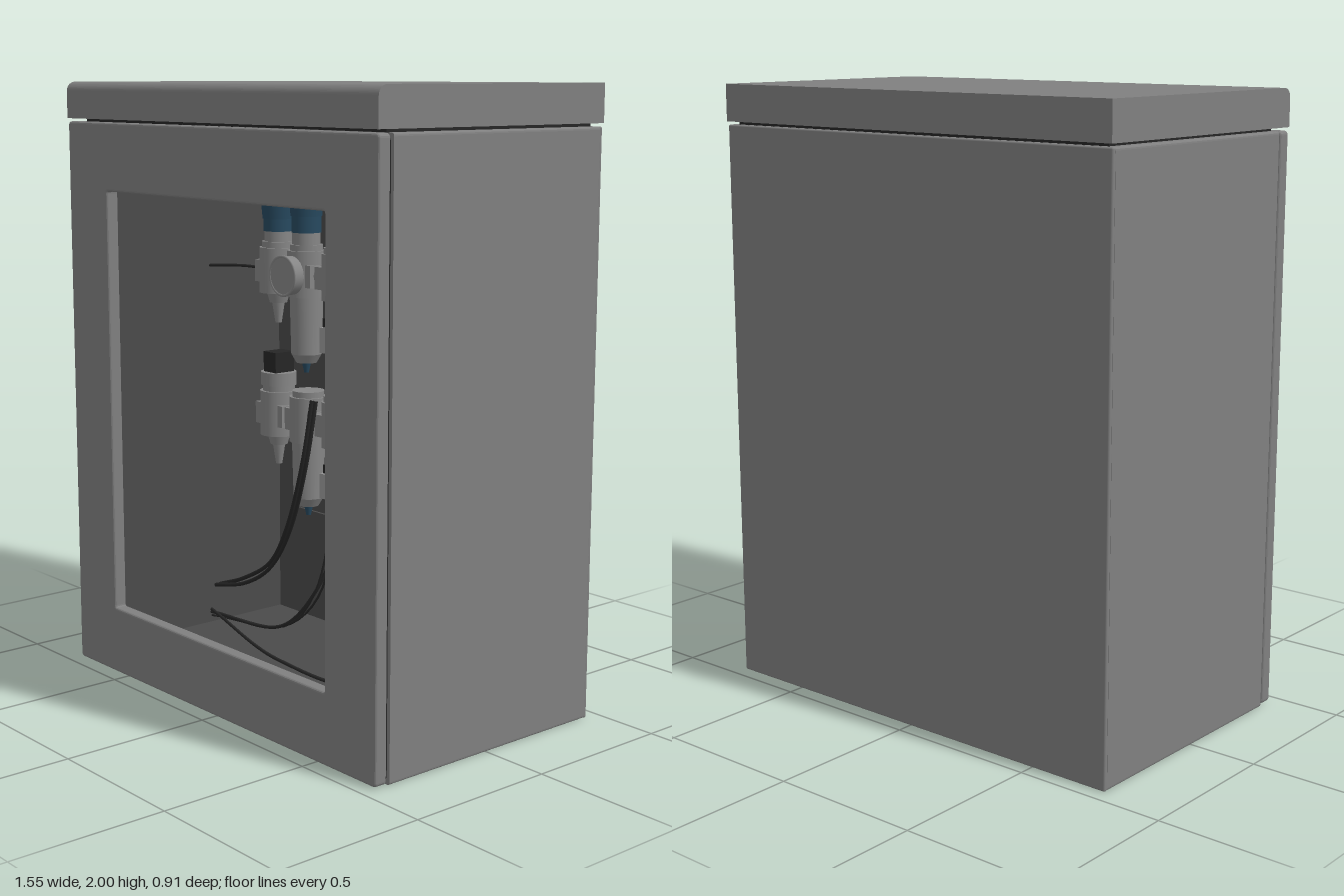
import * as THREE from 'three';
import { RoundedBoxGeometry } from 'three/addons/geometries/RoundedBoxGeometry.js';

const mat = (name, color) => {
  const m = new THREE.MeshStandardMaterial({ color });
  m.name = name;
  return m;
};

export function createModel() {
  const root = new THREE.Group();
  root.name = 'pneumaticCabinet';
  const grey = mat('cabinet grey', 0x808080);
  const dark = mat('interior grey', 0x4a4a4a);
  const metal = mat('fitting grey', 0x868686);
  const pale = mat('connector grey', 0x9a9a9a);
  const blue = mat('knob blue', 0x27495f);
  const black = mat('cable black', 0x262626);

  // ---- helpers ----
  const add = (parent, name, geo, m, x = 0, y = 0, z = 0) => {
    const mesh = new THREE.Mesh(geo, m);
    mesh.name = name;
    mesh.position.set(x, y, z);
    parent.add(mesh);
    return mesh;
  };
  const box = (p, name, m, x0, x1, y0, y1, z0, z1) =>
    add(p, name, new THREE.BoxGeometry(x1 - x0, y1 - y0, z1 - z0), m, (x0 + x1) / 2, (y0 + y1) / 2, (z0 + z1) / 2);
  const cyl = (p, name, m, r0, r1, y0, y1, x = 0, z = 0, n = 24) =>
    add(p, name, new THREE.CylinderGeometry(r1, r0, y1 - y0, n), m, x, (y0 + y1) / 2, z);
  const tube = (p, name, m, pts, r = 0.006) =>
    add(p, name, new THREE.TubeGeometry(
      new THREE.CatmullRomCurve3(pts.map((a) => new THREE.Vector3(...a))), 48, r, 8), m);
  const rounded = (Type, x0, x1, y0, y1, r) => {
    const s = new Type();
    s.moveTo(x0 + r, y0);
    s.lineTo(x1 - r, y0); s.quadraticCurveTo(x1, y0, x1, y0 + r);
    s.lineTo(x1, y1 - r); s.quadraticCurveTo(x1, y1, x1 - r, y1);
    s.lineTo(x0 + r, y1); s.quadraticCurveTo(x0, y1, x0, y1 - r);
    s.lineTo(x0, y0 + r); s.quadraticCurveTo(x0, y0, x0 + r, y0);
    return s;
  };
  const group = (name, x, y, z) => {
    const g = new THREE.Group();
    g.name = name;
    g.position.set(x, y, z);
    root.add(g);
    return g;
  };

  // ---- cabinet shell, open at the front ----
  const W = 0.775, TOP = 1.87;
  const shell = rounded(THREE.Shape, -W, W, 0, TOP, 0.01);
  shell.holes.push(rounded(THREE.Path, -W + 0.015, W - 0.015, 0.015, TOP - 0.015, 0.004));
  add(root, 'cabinetWalls', new THREE.ExtrudeGeometry(shell, { depth: 0.84, bevelEnabled: false, curveSegments: 4 }), grey, 0, 0, -0.44);
  add(root, 'cabinetBack', new RoundedBoxGeometry(2 * W, TOP, 0.015, 2, 0.006), grey, 0, TOP / 2, -0.4445);

  // dark interior lining
  const i = W - 0.015;
  box(root, 'backLining', dark, -i, i, 0.015, TOP - 0.015, -0.437, -0.43);
  box(root, 'floorLining', dark, -i, i, 0.015, 0.021, -0.43, 0.398);
  box(root, 'ceilingLining', dark, -i, i, TOP - 0.021, TOP - 0.015, -0.43, 0.398);
  for (const s of [-1, 1])
    box(root, 'sideLining', dark, s * (i - 0.003) - 0.003, s * (i - 0.003) + 0.003, 0.021, TOP - 0.021, -0.43, 0.398);
  for (const [y0, y1] of [[0.16, 0.43], [1.0, 1.23]])
    box(root, 'mountingPlate', dark, -0.65, 0.65, y0, y1, -0.43, -0.42);

  // ---- door frame with window opening ----
  const door = rounded(THREE.Shape, -W + 0.008, W - 0.008, 0.013, TOP - 0.008, 0.006);
  door.holes.push(rounded(THREE.Path, -0.56, 0.555, 0.225, 1.655, 0.015));
  add(root, 'doorFrame', new THREE.ExtrudeGeometry(door, {
    depth: 0.029, bevelThickness: 0.008, bevelSize: 0.008, bevelSegments: 3, curveSegments: 4 }), grey, 0, 0, 0.418);
  for (const s of [-1, 1]) box(root, 'doorSeal', black, s * 0.755 - 0.008, s * 0.755 + 0.008, 0.02, 1.85, 0.398, 0.412);
  for (const y of [0.02, 1.845]) box(root, 'doorSeal', black, -0.75, 0.75, y, y + 0.016, 0.398, 0.412);

  // ---- lid with rounded front edge ----
  const lid = new THREE.Shape();
  lid.moveTo(-0.457, 1.88);
  lid.lineTo(0.457, 1.88);
  lid.lineTo(0.457, 1.968);
  lid.absarc(0.425, 1.968, 0.032, 0, Math.PI / 2, false);
  lid.lineTo(-0.457, 2);
  lid.closePath();
  const lidGeo = new THREE.ExtrudeGeometry(lid, { depth: 2 * W, bevelEnabled: false, curveSegments: 8 });
  lidGeo.rotateY(-Math.PI / 2);
  add(root, 'lid', lidGeo, grey, W, 0, 0);
  lidGeo.scale(1, 1, 1);
  box(root, 'lidSpacer', black, -W + 0.03, W - 0.03, 1.868, 1.882, -0.43, 0.4);

  // ---- valve units: y measured from the pipe axis ----
  const Z = -0.11;
  const valveBody = (g, r = 0.065) => {
    cyl(g, 'valveBody', metal, r, r, -0.075, 0.08);
    box(g, 'valveFlange', metal, -r - 0.008, r + 0.008, -0.04, 0.035, -0.045, 0.045);
    cyl(g, 'valveCap', metal, r * 0.85, r * 0.85, 0.08, 0.1);
  };
  const knob = (g, y, h, r) => {
    cyl(g, 'knobNeck', metal, r * 0.85, r * 0.85, 0.09, y);
    cyl(g, 'knobSkirt', blue, r * 0.9, r * 0.9, y, y + h * 0.35);
    cyl(g, 'knobGrip', blue, r * 0.95, r * 1.08, y + h * 0.35, y + h);
  };
  const gauge = (g) => {
    const d = cyl(g, 'gaugeDial', metal, 0.065, 0.065, -0.02, 0.02, 0, 0.085, 32);
    d.rotation.x = Math.PI / 2;
    d.position.y = 0;
    const rim = add(g, 'gaugeRim', new THREE.TorusGeometry(0.065, 0.005, 8, 32), metal, 0, 0, 0.104);
    rim.scale.z = 0.6;
  };
  const bowl = (g) => {
    cyl(g, 'filterBowl', metal, 0.052, 0.057, -0.27, -0.07);
    cyl(g, 'bowlEnd', metal, 0.035, 0.052, -0.3, -0.27);
    cyl(g, 'bowlDrain', blue, 0.008, 0.016, -0.335, -0.3, 0, 0, 12);
  };
  const spout = (g) => {
    cyl(g, 'spoutCollar', metal, 0.03, 0.04, -0.11, -0.075);
    cyl(g, 'spout', metal, 0.011, 0.022, -0.18, -0.11, 0, 0, 12);
  };
  const connector = (g) => {
    cyl(g, 'sensorNeck', metal, 0.025, 0.03, -0.14, -0.07);
    box(g, 'sensorGap', black, -0.028, 0.028, -0.165, -0.135, -0.03, 0.03);
    box(g, 'sensorBlock', pale, -0.035, 0.035, -0.25, -0.165, -0.04, 0.04);
    cyl(g, 'sensorPlug', pale, 0.018, 0.026, -0.325, -0.25, 0, 0, 12);
  };
  const pipe = (x0, x1, y) => {
    const m = cyl(root, 'manifoldPipe', metal, 0.03, 0.03, 0, x1 - x0, 0, Z, 16);
    m.rotation.z = Math.PI / 2;
    m.position.set((x0 + x1) / 2, y, Z);
  };

  // upper row
  const U = 1.365, L = 0.87;
  let g = group('upperShutoffValve', -0.36, U, Z);
  valveBody(g); knob(g, 0.135, 0.12, 0.056); spout(g);
  g = group('upperFilterRegulator', -0.21, U, Z);
  valveBody(g); knob(g, 0.14, 0.155, 0.056); gauge(g); bowl(g);
  g = group('upperSensorUnit', -0.06, U, Z);
  valveBody(g, 0.047); connector(g);
  pipe(-0.43, 0.01, U);

  // lower row
  g = group('lowerShutoffValve', -0.36, L, Z);
  valveBody(g); spout(g);
  cyl(g, 'handleCollar', metal, 0.062, 0.062, 0.1, 0.145);
  box(g, 'handle', black, -0.033, 0.033, 0.145, 0.215, -0.04, 0.04);
  g = group('lowerFilter', -0.2, L, Z);
  valveBody(g); bowl(g);
  g = group('lowerSensorUnit', -0.06, L, Z);
  valveBody(g, 0.047); connector(g);
  g = group('branchUnit', 0.09, L, Z);
  valveBody(g);
  g = group('lowerRegulator', 0.235, L, Z);
  valveBody(g); knob(g, 0.145, 0.15, 0.056); gauge(g);
  g = group('pressureSwitchUnit', 0.385, L, Z);
  valveBody(g, 0.05); connector(g);
  box(g, 'switchHousing', metal, -0.036, 0.042, 0.11, 0.3, -0.04, 0.04);
  const dial = cyl(g, 'switchDial', pale, 0.028, 0.028, -0.004, 0.004, 0, 0.042);
  dial.rotation.x = Math.PI / 2;
  dial.position.y = 0.2;
  box(g, 'switchPlug', pale, -0.03, 0.065, 0.3, 0.355, -0.03, 0.03);
  box(g, 'switchLead', metal, 0.065, 0.155, 0.315, 0.34, -0.014, 0.014);
  pipe(-0.43, 0.46, L);
  box(root, 'outletPort', metal, 0.45, 0.55, L - 0.04, L + 0.045, Z - 0.04, Z + 0.04);

  // ---- distributor block with angled push fittings ----
  box(root, 'distributorBlock', dark, 0.05, 0.28, 1.27, 1.465, -0.42, -0.28);
  box(root, 'distributorBase', dark, 0.1, 0.22, 1.23, 1.32, -0.28, -0.24);
  box(root, 'distributorPort', pale, 0.155, 0.215, 1.23, 1.26, -0.24, -0.22);
  for (const [x, y, tilt] of [[0.115, 1.39, 0.35], [0.185, 1.39, 0.35], [0.23, 1.42, -0.6]])
    cyl(root, 'pushFitting', pale, 0.018, 0.015, y - 0.035, y + 0.04, x, -0.25, 12).rotation.z = tilt;

  // ---- tubes and cables ----
  const z = -0.25;
  for (const [x0, x1] of [[-0.04, 0.1], [0, 0.135], [0.03, 0.17]])
    tube(root, 'blueAirTube', blue, [[x0 - 0.06, 1.78, z], [x0 + 0.02, 1.64, z], [x1 - 0.03, 1.53, z], [x1, 1.43, z]], 0.007);
  tube(root, 'blueAirTube', blue, [[0.5, 1.7, z], [0.38, 1.63, z], [0.31, 1.51, z], [0.25, 1.45, z]], 0.007);
  tube(root, 'inletLine', black, [[-0.75, 1.35, Z], [-0.55, 1.365, Z], [-0.42, 1.365, Z]], 0.005);
  for (const d of [0, 0.025])
    tube(root, 'signalCable', black, [[-0.06 + d, 1.8, -0.2], [-0.02 + d, 1.55, -0.17], [0.005 + d, 1.25, -0.15],
      [-0.01 + d, 0.9, -0.05], [-0.02 + d, 0.6, -0.06], [-0.1 + d, 0.3, -0.06], [-0.25, 0.14, -0.06], [-0.74, 0.05, -0.12 + d]], 0.004);
  for (const d of [0, 0.02])
    tube(root, 'mainCable', black, [[-0.05 + d, 0.97, 0], [-0.1 + d, 0.75, 0], [-0.22 + d, 0.5, -0.03],
      [-0.38, 0.33 - d, -0.08], [-0.55, 0.235 - d, -0.1], [-0.75, 0.16, -0.14 + d]], 0.007);
  tube(root, 'sensorCable', black, [[-0.06, 0.56, Z], [-0.07, 0.44, Z], [-0.13, 0.28, -0.08],
    [-0.28, 0.13, -0.06], [-0.75, 0.06, -0.1]]);
  tube(root, 'switchCable', black, [[0.385, 0.55, Z], [0.38, 0.4, Z], [0.34, 0.22, -0.08],
    [0.2, 0.06, 0], [-0.2, 0.04, 0.02], [-0.75, 0.07, -0.1]]);

  return root;
}
